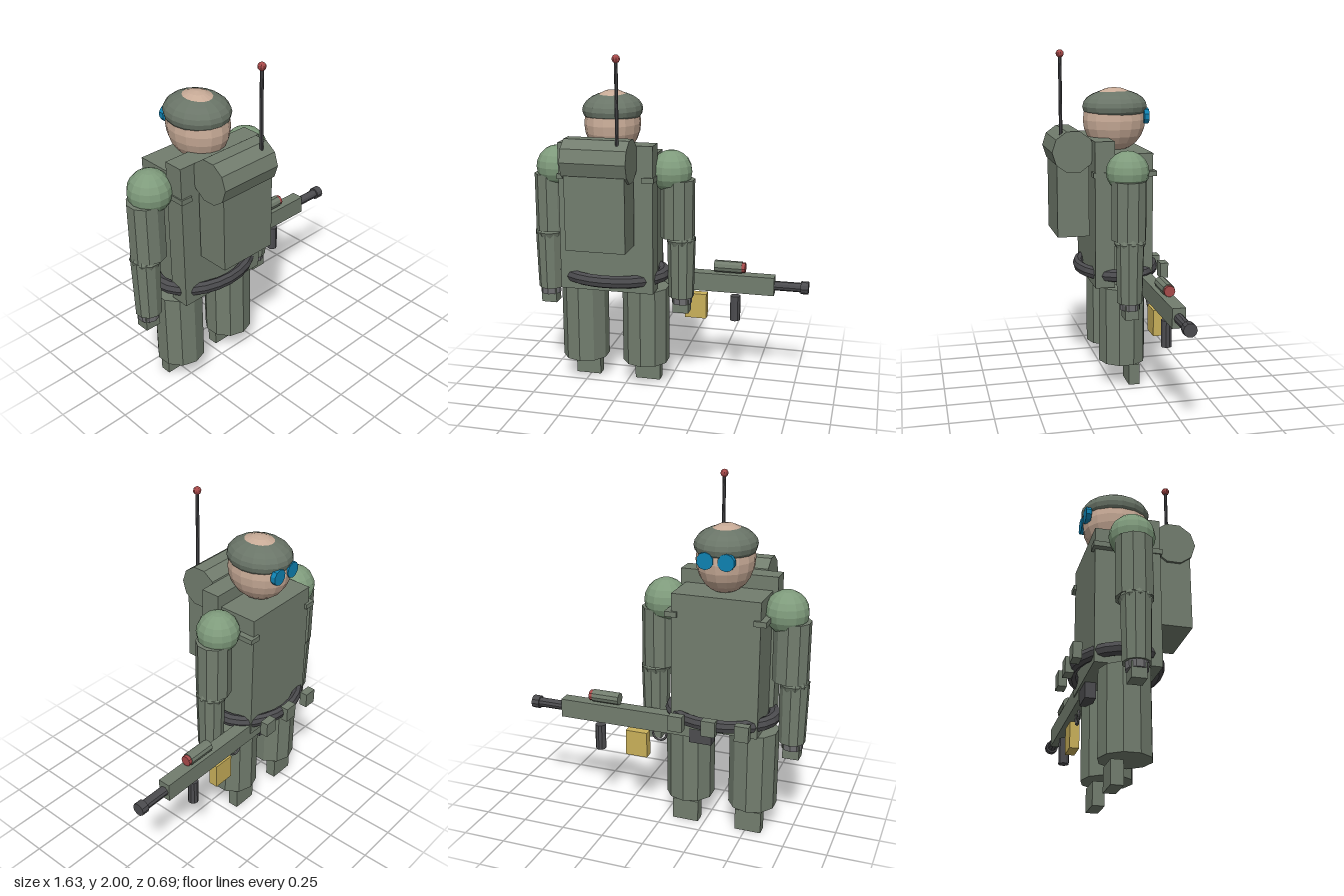
import * as THREE from 'three';

const mat = (name, color) => {
  const m = new THREE.MeshStandardMaterial({ color, flatShading: true });
  m.name = name;
  return m;
};

export function createModel() {
  const fatigue = mat('grey green', 0x727d6e);
  const helmetGreen = mat('helmet green', 0x6a7568);
  const shoulderGreen = mat('shoulder green', 0x7f9b7c);
  const dark = mat('dark grey', 0x4c4c4f);
  const cuffGrey = mat('cuff grey', 0x6e6e70);
  const skin = mat('skin', 0xc8ab97);
  const red = mat('red', 0xa84a4a);
  const brass = mat('brass', 0xc9b05a);
  const blue = mat('lens blue', 0x0f82b2);

  const model = new THREE.Group();
  model.name = 'soldier';
  const soldier = new THREE.Group();
  soldier.name = 'figure';
  soldier.position.x = -0.326;
  const rifle = new THREE.Group();
  rifle.name = 'rifle';
  rifle.position.z = -0.197;
  model.add(soldier, rifle);

  const add = (parent, name, geo, material, x, y, z) => {
    const m = new THREE.Mesh(geo, material);
    m.name = name;
    m.position.set(x, y, z);
    parent.add(m);
    return m;
  };
  // Box given by its ranges on each axis
  const box = (parent, name, material, x0, x1, y0, y1, z0, z1) =>
    add(parent, name, new THREE.BoxGeometry(x1 - x0, y1 - y0, z1 - z0), material,
      (x0 + x1) / 2, (y0 + y1) / 2, (z0 + z1) / 2);
  // Upright cylinder from y0 to y1
  const post = (parent, name, material, rTop, rBottom, x, y0, y1, z, sides = 10) =>
    add(parent, name, new THREE.CylinderGeometry(rTop, rBottom, y1 - y0, sides), material, x, (y0 + y1) / 2, z);
  // Cylinder lying along x
  const rod = (parent, name, material, r, x0, x1, y, z) =>
    add(parent, name, new THREE.CylinderGeometry(r, r, x1 - x0, 10).rotateZ(-Math.PI / 2), material, (x0 + x1) / 2, y, z);
  const ball = (parent, name, material, rx, ry, rz, x, y, z, w = 16, h = 12) =>
    add(parent, name, new THREE.SphereGeometry(1, w, h).scale(rx, ry, rz), material, x, y, z);

  // Head, helmet and goggles
  ball(soldier, 'head', skin, 0.16, 0.19, 0.19, 0, 1.585, -0.065);
  ball(soldier, 'helmet', helmetGreen, 0.172, 0.1, 0.196, 0, 1.663, -0.068);
  for (const s of [-1, 1]) {
    add(soldier, 'goggleLens', new THREE.CylinderGeometry(0.047, 0.047, 0.03, 10).rotateX(Math.PI / 2),
      blue, s * 0.058, 1.607, -0.242);
  }

  // Torso with rear plate, belt and pouches
  box(soldier, 'torso', fatigue, -0.25, 0.25, 0.63, 1.41, -0.24, 0.06);
  box(soldier, 'backPlate', fatigue, -0.278, 0.278, 0.625, 1.488, -0.005, 0.11);
  const belt = new THREE.TorusGeometry(0.298, 0.038, 8, 24).rotateX(Math.PI / 2).scale(1, 1, 0.76);
  add(soldier, 'belt', belt, dark, 0, 0.697, -0.068);
  for (const x of [-0.19, 0, 0.19]) {
    box(soldier, 'pouch', fatigue, x - 0.04, x + 0.04, 0.65, 0.74, -0.345, -0.297);
  }

  // Backpack, bedroll and antenna
  box(soldier, 'backpack', fatigue, -0.173, 0.173, 0.918, 1.36, 0.125, 0.313);
  rod(soldier, 'bedroll', fatigue, 0.125, -0.187, 0.187, 1.42, 0.217);
  post(soldier, 'antenna', dark, 0.01, 0.01, 0.126, 1.5, 1.97, 0.28, 8);
  ball(soldier, 'antennaTip', red, 0.023, 0.023, 0.023, 0.126, 1.977, 0.28, 10, 8);

  // Limbs and straps, mirrored
  for (const s of [-1, 1]) {
    const z = -0.064;
    box(soldier, 'strap', fatigue, s * 0.25 - 0.035, s * 0.25 + 0.035, 1.28, 1.31, -0.255, 0.12);
    ball(soldier, 'shoulder', shoulderGreen, 0.122, 0.122, 0.124, s * 0.345, 1.32, z, 14, 10);
    post(soldier, 'upperArm', fatigue, 0.102, 0.102, s * 0.381, 0.935, 1.275, z);
    ball(soldier, 'elbow', fatigue, 0.087, 0.06, 0.092, s * 0.403, 0.92, z, 10, 6);
    post(soldier, 'forearm', fatigue, 0.084, 0.075, s * 0.406, 0.57, 0.93, z);
    post(soldier, 'cuff', cuffGrey, 0.06, 0.06, s * 0.41, 0.53, 0.575, z);
    box(soldier, 'hand', fatigue, s * 0.41 - 0.047, s * 0.41 + 0.047, 0.475, 0.56, -0.105, -0.025);
    post(soldier, 'leg', fatigue, 0.14, 0.14, s * 0.19, 0.148, 0.616, -0.067);
    box(soldier, 'boot', fatigue, s * 0.19 - 0.077, s * 0.19 + 0.077, 0, 0.127, -0.16, -0.095);
  }

  // Rifle
  box(rifle, 'receiver', fatigue, -0.18, 0.615, 0.578, 0.688, -0.037, 0.037);
  box(rifle, 'stock', dark, -0.31, -0.18, 0.542, 0.65, -0.03, 0.03);
  rod(rifle, 'barrel', dark, 0.028, 0.61, 0.775, 0.632, 0);
  rod(rifle, 'muzzle', dark, 0.038, 0.77, 0.815, 0.632, 0);
  rod(rifle, 'scope', fatigue, 0.036, 0.255, 0.42, 0.728, 0);
  rod(rifle, 'scopeLens', red, 0.031, 0.415, 0.44, 0.728, 0);
  post(rifle, 'foregrip', dark, 0.031, 0.031, 0.383, 0.397, 0.55, 0);
  box(rifle, 'magazine', brass, 0.08, 0.21, 0.397, 0.55, -0.027, 0.027);
  add(rifle, 'triggerGuard', new THREE.TorusGeometry(0.042, 0.007, 6, 14), cuffGrey, 0.01, 0.552, 0);

  return model;
}
